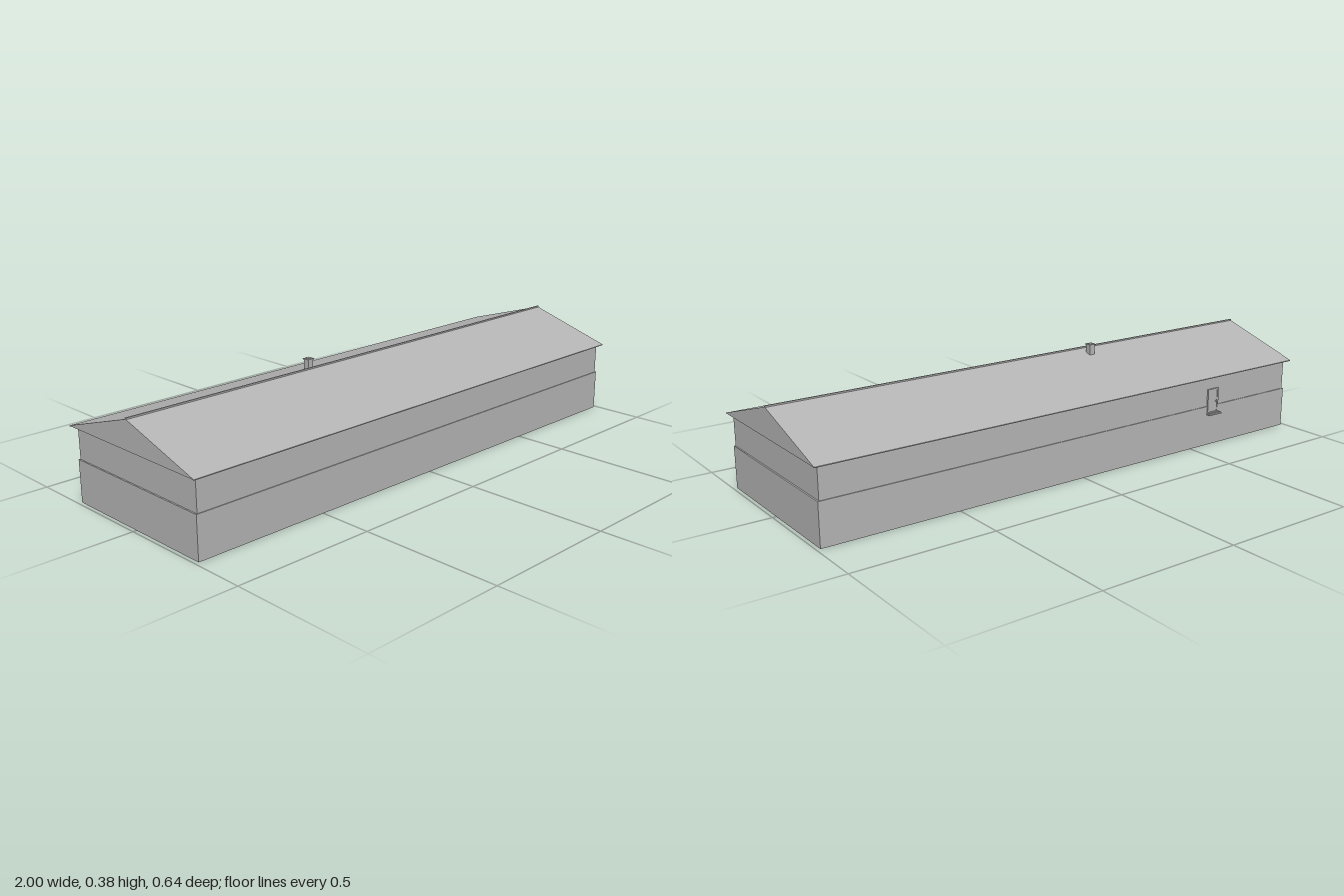
import * as THREE from 'three';

export function createModel() {
  const model = new THREE.Group();
  model.name = 'longShed';
  const grey = new THREE.MeshStandardMaterial({ color: 0xb4b4b4 });
  grey.name = 'plain grey';

  // Box given by its low and high corners
  function box(name, [x0, y0, z0], [x1, y1, z1], parent = model) {
    const mesh = new THREE.Mesh(new THREE.BoxGeometry(x1 - x0, y1 - y0, z1 - z0), grey);
    mesh.position.set((x0 + x1) / 2, (y0 + y1) / 2, (z0 + z1) / 2);
    mesh.name = name;
    parent.add(mesh);
    return mesh;
  }

  // Walls: the lower half stands slightly proud of the upper half
  box('lowerWalls', [-0.987, 0, -0.304], [0.987, 0.148, 0.308]);
  box('upperWalls', [-0.982, 0.148, -0.301], [0.982, 0.26, 0.305]);

  // Gabled roof with closed ends and thin eaves, extruded along x
  const profile = new THREE.Shape([
    [-0.321, 0.258], [-0.313, 0.26], [0.313, 0.26], [0.321, 0.258], [0.321, 0.261], [0, 0.36], [-0.321, 0.261],
  ].map(([z, y]) => new THREE.Vector2(z, y)));
  const roofGeometry = new THREE.ExtrudeGeometry(profile, { depth: 2, bevelEnabled: false });
  roofGeometry.translate(0, 0, -1);
  roofGeometry.rotateY(Math.PI / 2);
  const roof = new THREE.Mesh(roofGeometry, grey);
  roof.name = 'roof';
  roof.position.z = 0.001;
  model.add(roof);
  box('ridgeCap', [-1, 0.356, -0.002], [1, 0.364, 0.004]);

  // Chimney on the back slope
  const chimney = new THREE.Group();
  chimney.name = 'chimney';
  model.add(chimney);
  box('chimneyStack', [-0.249, 0.335, -0.051], [-0.227, 0.379, -0.029], chimney);
  box('chimneyCap', [-0.252, 0.379, -0.054], [-0.224, 0.382, -0.026], chimney);
  box('chimneyTop', [-0.246, 0.382, -0.048], [-0.23, 0.384, -0.032], chimney);

  // Back door with frame, handle and step
  const door = new THREE.Group();
  door.name = 'backDoor';
  model.add(door);
  box('doorPanel', [-0.629, 0.122, -0.305], [-0.581, 0.21, -0.3], door);
  for (const x of [-0.631, -0.585]) {
    box('doorJamb', [x, 0.122, -0.307], [x + 0.006, 0.212, -0.3], door);
  }
  box('doorLintel', [-0.631, 0.206, -0.307], [-0.579, 0.212, -0.3], door);
  box('doorHandle', [-0.622, 0.161, -0.309], [-0.616, 0.165, -0.304], door);
  box('doorSill', [-0.629, 0.121, -0.313], [-0.581, 0.125, -0.302], door);
  box('doorStep', [-0.635, 0.116, -0.322], [-0.577, 0.121, -0.302], door);

  return model;
}
